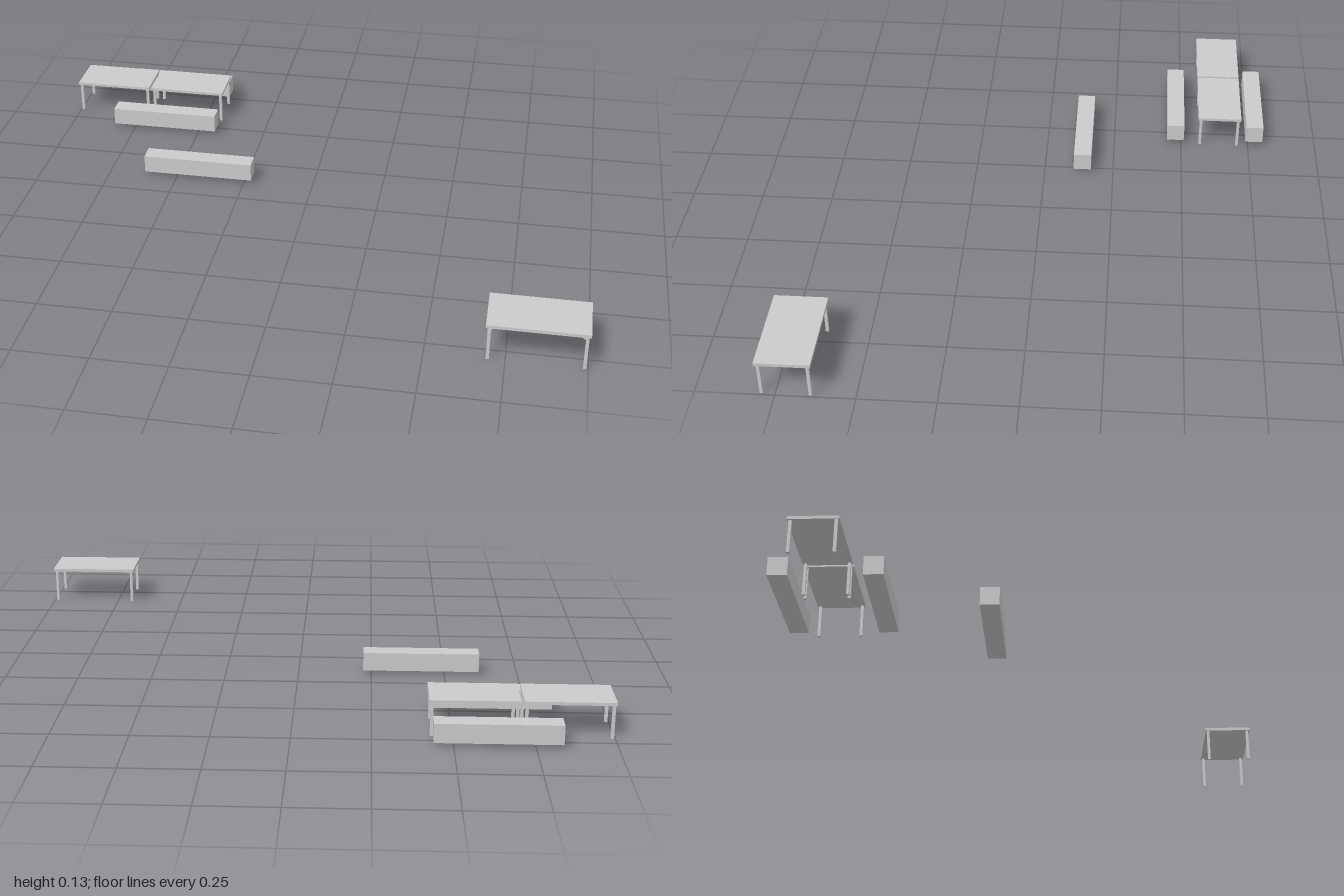
import * as THREE from 'three';

const material = new THREE.MeshStandardMaterial({ color: 0xcccccc, flatShading: true });

// Box given by its lower and upper limits on each axis
function block(name, [x0, x1], [y0, y1], [z0, z1]) {
  const mesh = new THREE.Mesh(new THREE.BoxGeometry(x1 - x0, y1 - y0, z1 - z0), material);
  mesh.position.set((x0 + x1) / 2, (y0 + y1) / 2, (z0 + z1) / 2);
  mesh.name = name;
  return mesh;
}

// Thin top on four square legs set slightly in from the edges
function table(name, xs, zs, height, { top, leg, insetX, insetZ }) {
  const group = new THREE.Group();
  group.name = name;
  group.add(block('tableTop', xs, [height - top, height], zs));
  for (const x of [xs[0] + insetX, xs[1] - insetX - leg]) {
    for (const z of [zs[0] + insetZ, zs[1] - insetZ - leg]) {
      group.add(block('tableLeg', [x, x + leg], [0, height - top], [z, z + leg]));
    }
  }
  return group;
}

export function createModel() {
  const model = new THREE.Group();
  model.name = 'tablesAndBenches';

  // Two tables side by side, and a larger one standing apart
  const small = { top: 0.01, leg: 0.01, insetX: 0.004, insetZ: 0.005 };
  model.add(table('rightTable', [-1, -0.717], [-0.718, -0.56], 0.12, small));
  model.add(table('middleTable', [-0.707, -0.426], [-0.718, -0.56], 0.12, small));
  model.add(table('leftTable', [0.685, 1], [0.63, 0.804], 0.13,
    { top: 0.011, leg: 0.01, insetX: 0.006, insetZ: 0.006 }));

  // Solid benches
  const benches = [
    ['backBench', -0.833, -0.804],
    ['middleBench', -0.828, -0.51],
    ['frontBench', -0.617, -0.169],
  ];
  for (const [name, x, z] of benches) {
    model.add(block(name, [x, x + 0.395], [0.014, 0.077], [z, z + 0.063]));
  }
  return model;
}
